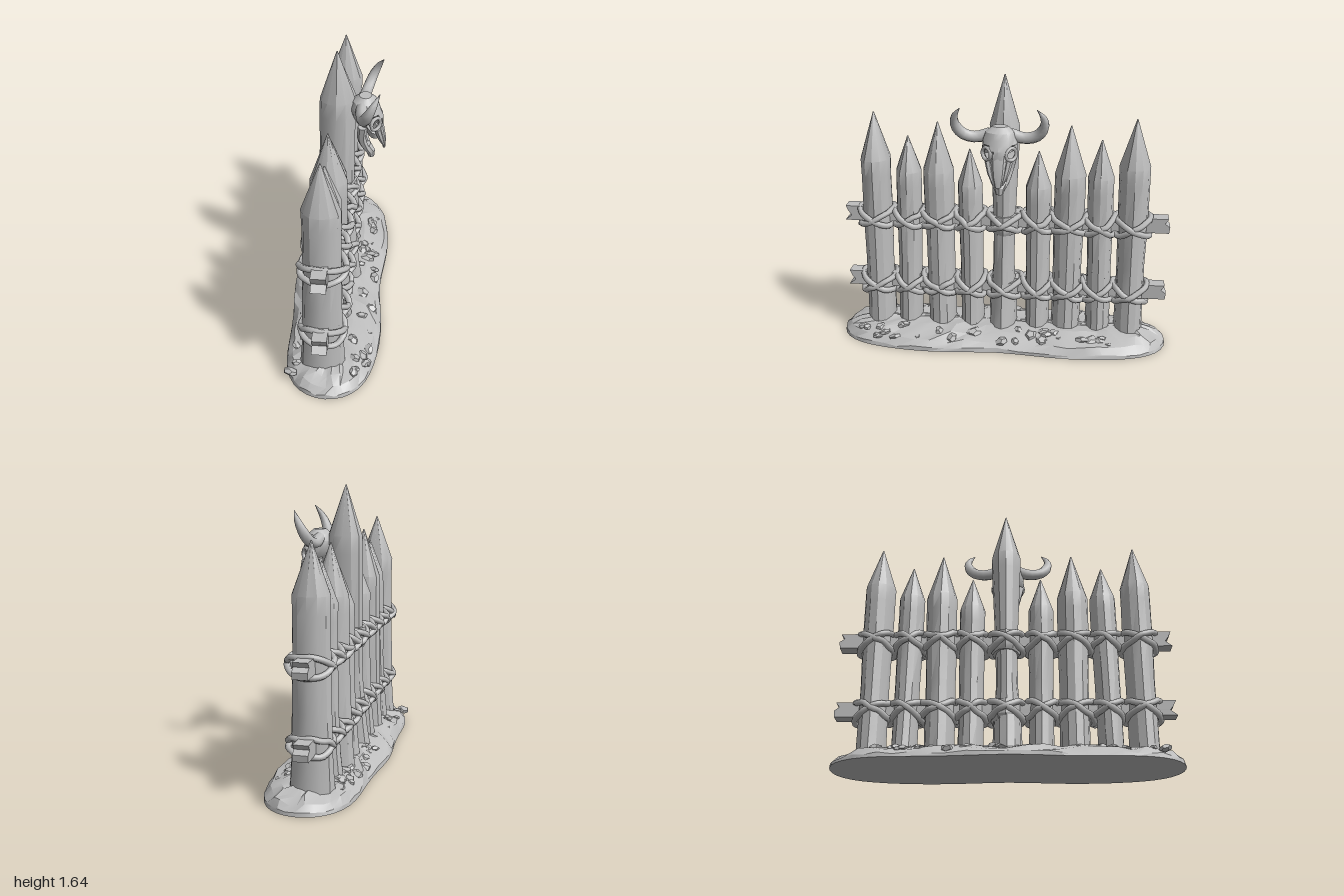
import * as THREE from 'three';
import { toCreasedNormals } from 'three/addons/utils/BufferGeometryUtils.js';

const V = (x, y, z) => new THREE.Vector3(x, y, z);
const stone = new THREE.MeshStandardMaterial({ color: 0xbebebe });
stone.name = 'plain grey';

let seed = 11;
const rand = () => (seed = (seed * 16807) % 2147483647) / 2147483647;
const jitter = (a) => (rand() * 2 - 1) * a;

// Skin a stack of point rings and close both ends
function loft(rings, crease = 0.6) {
  const n = rings[0].length, pos = [], idx = [];
  rings.forEach((r) => r.forEach((p) => pos.push(p.x, p.y, p.z)));
  for (let i = 0; i < rings.length - 1; i++)
    for (let j = 0; j < n; j++) {
      const a = i * n + j, b = i * n + (j + 1) % n;
      idx.push(a, b, b + n, a, b + n, a + n);
    }
  [rings[0], rings[rings.length - 1]].forEach((r, end) => {
    const c = r.reduce((s, p) => s.add(p), V(0, 0, 0)).divideScalar(n);
    const k = pos.length / 3, o = end ? (rings.length - 1) * n : 0;
    pos.push(c.x, c.y, c.z);
    for (let j = 0; j < n; j++) {
      const a = o + j, b = o + (j + 1) % n;
      end ? idx.push(a, b, k) : idx.push(b, a, k);
    }
  });
  const g = new THREE.BufferGeometry();
  g.setAttribute('position', new THREE.Float32BufferAttribute(pos, 3));
  g.setIndex(idx);
  return toCreasedNormals(g, crease);
}

// Horizontal oval ring
const oval = (cx, y, cz, rx, rz, n = 12, wobble = 0) => Array.from({ length: n }, (_, j) => {
  const a = (j / n) * Math.PI * 2, k = 1 + jitter(wobble);
  return V(cx + Math.cos(a) * rx * k, y, cz - Math.sin(a) * rz * k);
});

function add(parent, name, geometry) {
  const m = new THREE.Mesh(geometry, stone);
  m.name = name;
  parent.add(m);
  return m;
}

// Tapering round bar along a curve
function taper(points, radii, n = 8, steps = 12) {
  const curve = new THREE.CatmullRomCurve3(points), f = curve.computeFrenetFrames(steps);
  const rings = [];
  for (let i = 0; i <= steps; i++) {
    const t = i / steps, p = curve.getPointAt(t), s = t * (radii.length - 1);
    const k = Math.min(Math.floor(s), radii.length - 2);
    const r = THREE.MathUtils.lerp(radii[k], radii[k + 1], s - k);
    rings.push(Array.from({ length: n }, (_, j) => {
      const a = (j / n) * Math.PI * 2;
      return p.clone().addScaledVector(f.normals[i], Math.cos(a) * r)
        .addScaledVector(f.binormals[i], Math.sin(a) * r);
    }));
  }
  return loft(rings, 0.9);
}

// Earth mound: long rounded outline with a slight bend
function mound() {
  const n = 56;
  const layers = [[0, 1, 0], [0.022, 0.985, 0.008], [0.055, 0.87, 0.014], [0.082, 0.66, 0.014], [0.098, 0.4, 0.012], [0.1, 0.1, 0.004]];
  return loft(layers.map(([y, k, noise]) => Array.from({ length: n }, (_, j) => {
    const a = (j / n) * Math.PI * 2, s = Math.sin(a);
    const w = 0.272 * Math.sqrt(Math.max(0, 1 - Math.pow(Math.abs(s), 6)));
    const x = Math.sign(Math.cos(a)) * w * k - 0.02 * Math.cos(s * 6.28) * (1 - Math.abs(s));
    return V(x + jitter(noise * 0.6), y + jitter(noise), -s * (1 - (1 - k) * 0.28));
  })), 0.35);
}

// z, tip height, shoulder height, half width, foot z, foot half depth
const STAKES = [
  [0.77, 1.4, 1.12, 0.09, 0.77, 0.13], [0.57, 1.26, 1.05, 0.077, 0.585, 0.125],
  [0.39, 1.35, 1.06, 0.091, 0.38, 0.14], [0.2, 1.19, 0.98, 0.075, 0.19, 0.13],
  [-0.01, 1.645, 1.35, 0.088, 0, 0.16],
  [-0.21, 1.19, 0.98, 0.077, -0.21, 0.13], [-0.395, 1.35, 1.06, 0.092, -0.385, 0.14],
  [-0.575, 1.27, 1.05, 0.077, -0.585, 0.125], [-0.77, 1.4, 1.12, 0.09, -0.77, 0.13],
];

function stake([z, tip, shoulder, r, footZ, footX], centre) {
  const cx = centre ? -0.02 : -0.033, rx = Math.min(0.107, r * 1.17), waist = centre ? 0.72 : 0.94;
  const levels = [[0.03, footX, r * 0.95], [0.22, (footX + rx) / 2, r * 0.95], [0.5, rx * 1.04, r * waist],
    [0.75, rx, r * (centre ? 0.75 : 1)], [shoulder - 0.1, rx, r], [shoulder, rx, r]];
  const rings = levels.map(([y, a, b]) =>
    oval(cx, y, THREE.MathUtils.lerp(footZ, z, Math.min(1, y)), a, b, 12, 0.025));
  rings.push(oval(cx - 0.002, tip, z, 0.003, 0.003));
  return loft(rings, 0.5);
}

// Rope loop tilted across a stake
function ropeLoop(z, y, rx, rz, tilt) {
  const pts = [];
  for (let i = 0; i < 14; i++) {
    const a = (i / 14) * Math.PI * 2;
    pts.push(V(-0.027 + Math.cos(a) * rx + jitter(0.006), y + Math.sin(a) * tilt + jitter(0.008), z + Math.sin(a) * rz));
  }
  return new THREE.TubeGeometry(new THREE.CatmullRomCurve3(pts, true), 32, 0.018, 6, true);
}

// Rail with a split notch at each end
function rail(y) {
  const h = 0.048, s = new THREE.Shape();
  [[-0.985, -h], [0.965, -h * 0.9], [0.925, -0.012], [0.945, 0.015], [0.96, h], [-0.98, h * 0.85], [-0.96, 0.012], [-0.99, -0.01]]
    .forEach(([a, b], i) => (i ? s.lineTo(a, b) : s.moveTo(a, b)));
  const g = new THREE.ExtrudeGeometry(s, { depth: 0.084, bevelEnabled: false });
  return g.translate(0, 0, -0.042).rotateY(-Math.PI / 2).translate(-0.033, y, 0);
}

function hornedSkull() {
  const g = new THREE.Group();
  g.name = 'hornedSkull';
  // Cranium, pressed in at the eye sockets
  const rows = [[1.13, 0.2, 0.035, 0.045], [1.17, 0.19, 0.05, 0.06], [1.2, 0.178, 0.065, 0.075], [1.23, 0.165, 0.08, 0.09],
    [1.26, 0.155, 0.088, 0.1], [1.29, 0.145, 0.088, 0.1], [1.32, 0.138, 0.085, 0.097], [1.355, 0.138, 0.07, 0.083], [1.385, 0.14, 0.035, 0.045]];
  const rings = rows.map(([y, cx, rx, rz]) => oval(cx, y, 0, rx, rz, 22, 0.03));
  rings.flat().forEach((p) => {
    const d = Math.hypot(p.x - 0.2, p.y - 1.235, Math.abs(p.z) - 0.07);
    if (d < 0.042) { p.z *= 0.45; p.x -= 0.02; }
  });
  add(g, 'cranium', loft(rings, 0.45));
  // Long nose bone
  add(g, 'noseBone', loft([oval(0.252, 1.055, 0, 0.008, 0.018, 8), oval(0.245, 1.12, 0, 0.017, 0.034, 8),
    oval(0.228, 1.2, 0, 0.02, 0.042, 8), oval(0.2, 1.3, 0, 0.025, 0.05, 8), oval(0.175, 1.36, 0, 0.02, 0.05, 8)], 0.5));
  // Front teeth plate
  add(g, 'muzzle', loft([oval(0.178, 0.99, 0, 0.018, 0.022, 8), oval(0.17, 1.03, 0, 0.03, 0.034, 8), oval(0.155, 1.07, 0, 0.018, 0.045, 8)], 0.5));
  for (const s of [1, -1]) {
    add(g, 'horn', taper([V(0.125, 1.335, s * 0.06), V(0.13, 1.315, s * 0.14), V(0.145, 1.335, s * 0.21),
      V(0.17, 1.39, s * 0.25), V(0.2, 1.45, s * 0.25), V(0.23, 1.505, s * 0.215)], [0.036, 0.034, 0.033, 0.03, 0.02, 0.002]));
    add(g, 'jawBone', taper([V(0.13, 1.22, s * 0.075), V(0.125, 1.13, s * 0.055), V(0.15, 1.06, s * 0.038), V(0.175, 1.01, s * 0.015)], [0.028, 0.026, 0.02, 0.012], 6, 8));
    add(g, 'cheekBone', taper([V(0.215, 1.2, s * 0.06), V(0.235, 1.13, s * 0.045), V(0.255, 1.07, s * 0.025)], [0.02, 0.016, 0.004], 6, 6));
    const brow = add(g, 'eyeRim', new THREE.TorusGeometry(0.036, 0.011, 6, 14));
    brow.position.set(0.205, 1.24, s * 0.07);
    brow.rotation.y = Math.PI / 2 - s * 0.75;
  }
  return g;
}

export function createModel() {
  const model = new THREE.Group();
  model.name = 'palisade';
  add(model, 'earthMound', mound());

  // Stones scattered over the earth
  for (let i = 0; i < 60; i++) {
    const side = i % 2 ? 1 : -1;
    const stoneChip = add(model, 'stone', toCreasedNormals(new THREE.DodecahedronGeometry(0.02 + rand() * 0.02), 0.2));
    const x = 0.12 + rand() * 0.1;
    stoneChip.position.set(side * x, 0.1 - (x - 0.1) * 0.4, jitter(0.86));
    stoneChip.scale.set(1, 0.5 + rand() * 0.3, 1.3);
    stoneChip.rotation.set(jitter(0.5), jitter(3), jitter(0.5));
  }

  STAKES.forEach((s, i) => add(model, 'stake', stake(s, i === 4)));

  // Rails and their rope lashings
  for (const y of [0.77, 0.34]) {
    add(model, 'rail', rail(y));
    STAKES.forEach(([z, , , r], i) => {
      for (const tilt of [0.052, -0.052])
        add(model, 'ropeLashing', ropeLoop(z, y - 0.012, 0.124, r + 0.014, tilt));
      if (i === 4)
        add(model, 'ropeBand', loft([oval(-0.025, y - 0.08, z, 0.108, 0.078, 12, 0.03),
          oval(-0.025, y - 0.05, z, 0.122, 0.09, 12, 0.03), oval(-0.025, y + 0.04, z, 0.118, 0.09, 12, 0.03)], 0.5));
    });
  }

  model.add(hornedSkull());
  return model;
}
